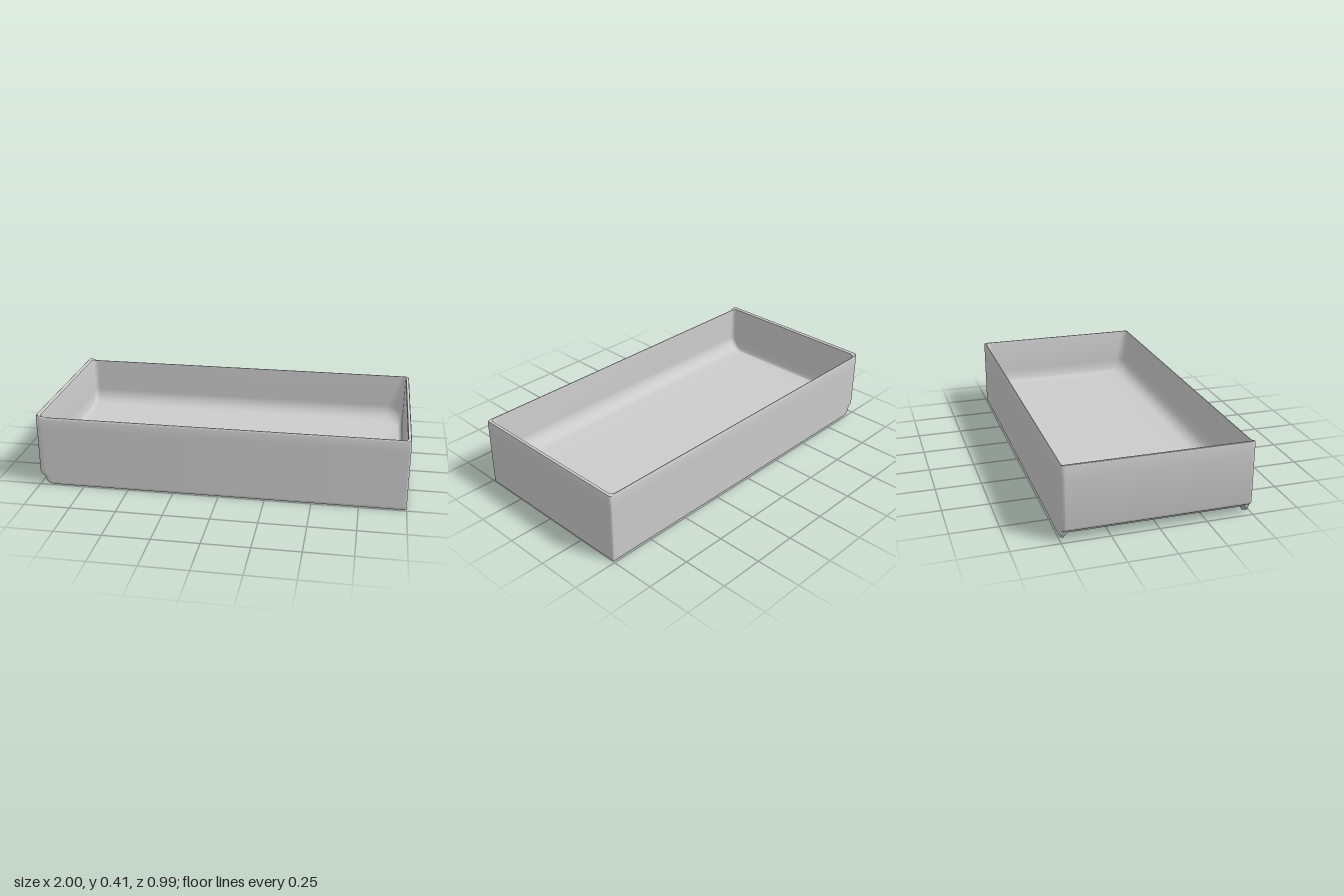
import * as THREE from 'three';
import { toCreasedNormals } from 'three/addons/utils/BufferGeometryUtils.js';

const STEPS = 10; // segments per corner arc

// Horizontal cross-section: a rectangle x0..x1, -z..z with its own corner sizes at each end.
function ring(y, x0, x1, z, neg = [0.015, 0.015], pos = [0.012, 0.012]) {
  const corners = [[x1, -z, pos, 1, -1], [x0, -z, neg, -1, -1], [x0, z, neg, -1, 1], [x1, z, pos, 1, 1]];
  const pts = [];
  corners.forEach(([cx, cz, [rx, rz], sx, sz], q) => {
    if (q === 2) pts.push([x0, y, -z * 0.94], [x0, y, z * 0.94]);
    if (q === 3) pts.push([x0 + 0.035, y, z]);
    for (let i = 0; i <= STEPS; i++) {
      const a = (q + i / STEPS) * Math.PI / 2;
      pts.push([cx - sx * rx + rx * Math.cos(a), y, cz - sz * rz - rz * Math.sin(a)]);
    }
    if (q === 0) pts.push([x0 + 0.035, y, -z]);
  });
  return pts;
}

// Raise the rim at the -x end into a lip.
const lip = (pts) => pts.map(([x, y, z]) => [x, y + 0.014 * (1 - THREE.MathUtils.smoothstep(x, -0.992, -0.965)), z]);

// Skin a list of equal-length rings, ordered so that faces point outward.
function loft(rings) {
  const n = rings[0].length;
  const index = [];
  for (let r = 0; r < rings.length - 1; r++) {
    for (let j = 0; j < n; j++) {
      const a = r * n + j, b = r * n + (j + 1) % n;
      index.push(a, b, b + n, a, b + n, a + n);
    }
  }
  const g = new THREE.BufferGeometry();
  g.setAttribute('position', new THREE.Float32BufferAttribute(rings.flat(2), 3));
  g.setIndex(index);
  return toCreasedNormals(g, 0.6);
}

export function createModel() {
  const group = new THREE.Group();
  group.name = 'tray';
  const rings = [];
  const none = [0, 0];
  const H = 0.394, Z = 0.493, RECESS = 0.04;

  // recess under the floor, open at the -x end
  const open = (pts) => pts.map(([x, y, z]) =>
    [x, x < -0.9 && Math.abs(z) < 0.466 ? Math.max(y, RECESS) : y, z]);
  rings.push(ring(RECESS, -0.85, 0.9, 0, none, none));
  rings.push(ring(RECESS, -0.92, 0.965, 0.462));
  rings.push(open(ring(0.034, -0.928, 0.976, 0.473)));
  rings.push(open(ring(0.022, -0.932, 0.982, 0.479)));
  rings.push(open(ring(0, -0.935, 0.985, 0.482)));

  // outer wall, stepped in at the bottom of the -x end
  const notch = [[0, -0.938], [0.005, -0.953], [0.016, -0.966], [0.035, -0.973],
    [0.05, -0.977], [0.056, -0.99], [0.063, -0.997], [0.072, -1]];
  notch.forEach(([y, x], i) => rings.push(open(ring(y, x, i ? 1 : 0.997, i ? Z : 0.49))));

  // rounded rim with a raised lip at the -x end
  rings.push(ring(H - 0.06, -1, 1, Z));
  rings.push(lip(ring(H - 0.012, -1, 1, Z)));
  rings.push(lip(ring(H - 0.003, -0.998, 0.997, 0.491)));
  rings.push(lip(ring(H, -0.994, 0.99, 0.488)));

  // inner wall, its corners widening downward at the +x end
  const small = [0.025, 0.025], wide = [0.1, 0.07];
  rings.push(lip(ring(H, -0.979, 0.983, 0.483, small, [0.03, 0.025])));
  rings.push(ring(H - 0.012, -0.976, 0.98, 0.482, small, [0.04, 0.03]));

  // floor with a fillet, broader along the long sides than at the ends
  const floorY = 0.12, R = 0.085;
  for (let i = 0; i <= 10; i++) {
    const a = i / 10 * Math.PI / 2, k = 1 - Math.cos(a);
    rings.push(ring(floorY + R * (1 - Math.sin(a)), -0.974 + 0.02 * k, 0.978 - 0.025 * k,
      0.48 - R * k, small, wide));
  }
  rings.push(ring(floorY, -0.85, 0.85, 0, none, none));

  const tray = new THREE.Mesh(loft(rings), new THREE.MeshStandardMaterial({ color: 0xcccccc }));
  tray.name = 'trayShell';
  group.add(tray);
  return group;
}
